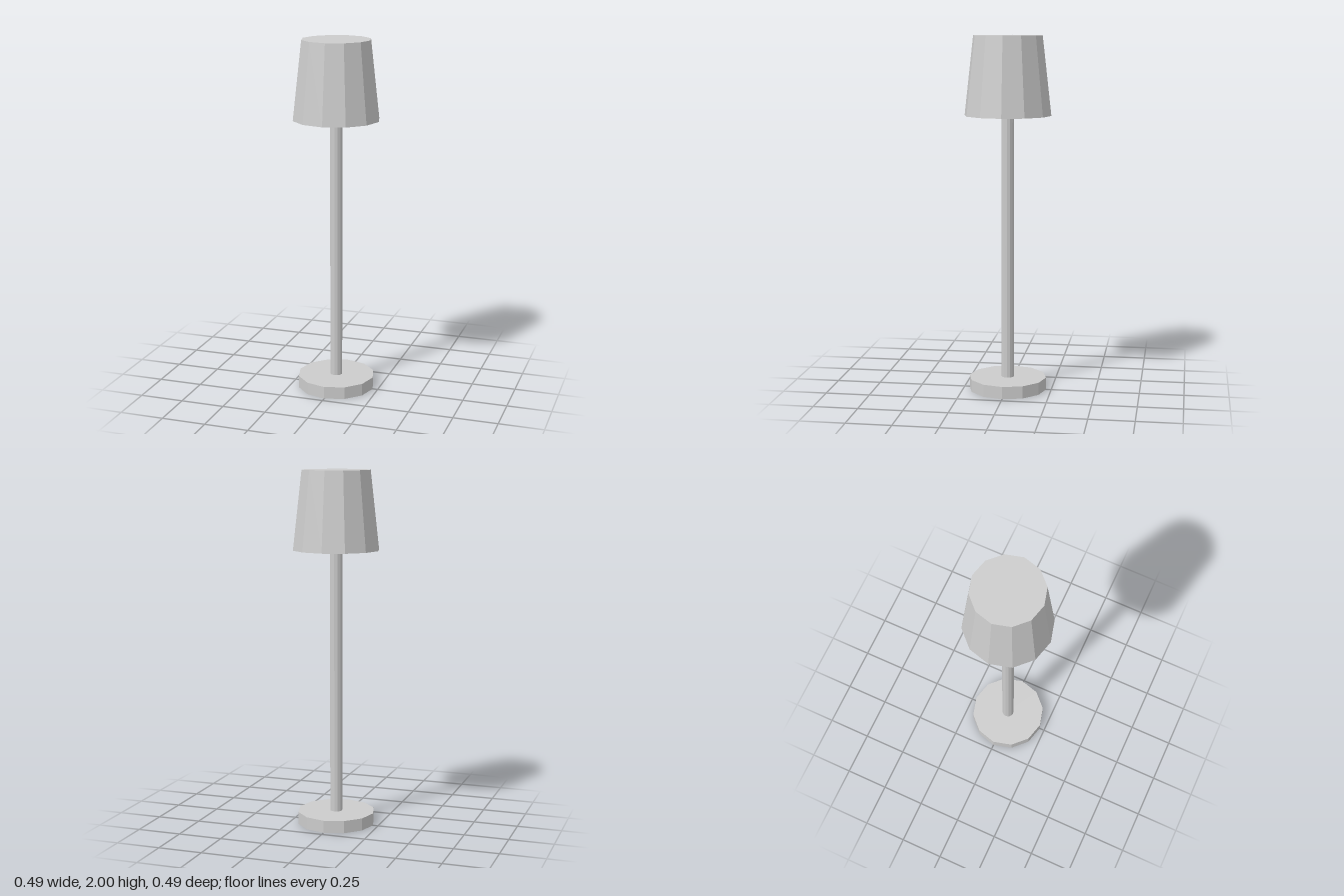
import * as THREE from 'three';

const SIDES = 12;

export function createModel() {
  const model = new THREE.Group();
  const material = new THREE.MeshStandardMaterial({ color: 0xcccccc, flatShading: true });

  const add = (name, geometry, y = 0) => {
    const mesh = new THREE.Mesh(geometry, material);
    mesh.name = name;
    mesh.position.y = y;
    model.add(mesh);
  };

  // Flat round foot
  add('base', new THREE.CylinderGeometry(0.22, 0.22, 0.07, SIDES), 0.035);

  // Slim pole reaching up into the shade
  const poleBottom = 0.07, poleTop = 1.75;
  add('pole', new THREE.CylinderGeometry(0.035, 0.035, poleTop - poleBottom, SIDES), (poleBottom + poleTop) / 2);

  // Tapered shade: hollow cone underneath, outer wall, closed top
  const shadeProfile = [[0, 1.72], [0.243, 1.56], [0.193, 2], [0, 2]]
    .map(([r, y]) => new THREE.Vector2(r, y));
  add('shade', new THREE.LatheGeometry(shadeProfile, SIDES));

  return model;
}
